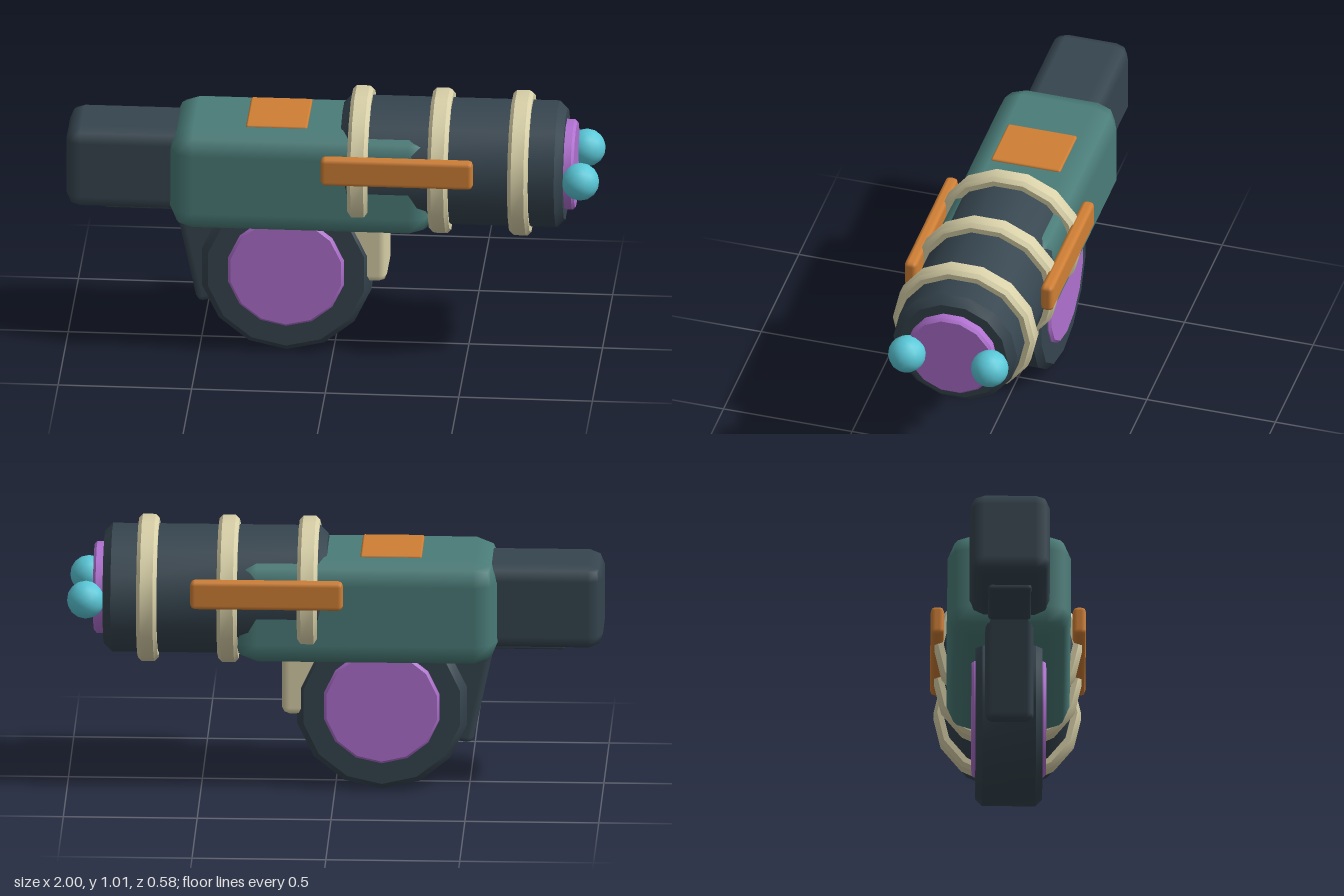
import * as THREE from 'three';
import { toCreasedNormals } from 'three/addons/utils/BufferGeometryUtils.js';
import { RoundedBoxGeometry } from 'three/addons/geometries/RoundedBoxGeometry.js';

const SIDES = 14;
const AXIS_Y = 0.75; // height of the barrel axis

function paint(name, color) {
  const m = new THREE.MeshStandardMaterial({ color });
  m.name = name;
  return m;
}

export function createModel() {
  const teal = paint('teal', 0x4a7c78);
  const slate = paint('slate', 0x36454f);
  const cream = paint('cream', 0xd8d0a8);
  const orange = paint('orange', 0xcf7f35);
  const purple = paint('purple', 0xb070d0);
  const cyan = paint('cyan', 0x5ac8d8);

  const model = new THREE.Group();
  model.name = 'blaster';

  function add(name, geometry, material, x, y, z) {
    const mesh = new THREE.Mesh(geometry, material);
    mesh.name = name;
    mesh.position.set(x, y, z);
    model.add(mesh);
    return mesh;
  }

  // Box with softened edges, given by its minimum and maximum corners
  function box(name, material, min, max, radius) {
    const s = max.map((v, i) => v - min[i]);
    const c = max.map((v, i) => (v + min[i]) / 2);
    return add(name, new RoundedBoxGeometry(s[0], s[1], s[2], 1, radius), material, ...c);
  }

  // Bevelled prism turned around the y axis
  function drum(radius, length, bevel, inner = 0) {
    const h = length / 2;
    const profile = [
      [inner, -h], [radius - bevel, -h], [radius, -h + bevel],
      [radius, h - bevel], [radius - bevel, h], [inner, h],
    ].map(([r, y]) => new THREE.Vector2(r, y));
    return toCreasedNormals(new THREE.LatheGeometry(profile, SIDES), 0.6);
  }
  const alongX = (g) => g.rotateZ(-Math.PI / 2);
  const alongZ = (g) => g.rotateX(Math.PI / 2);

  // Receiver, stock and the strip beneath the stock
  box('body', teal, [-0.61, 0.51, -0.23], [0.38, 0.92, 0.23], 0.09);
  box('stock', slate, [-1, 0.565, -0.15], [-0.5, 0.89, 0.15], 0.055);
  box('stockUnderplate', slate, [-0.86, 0.548, -0.08], [-0.5, 0.62, 0.08], 0.012);
  box('topPlate', orange, [-0.325, 0.89, -0.135], [-0.095, 0.928, 0.135], 0.008);

  // Barrel with its three bands and muzzle
  add('barrel', alongX(drum(0.241, 0.835, 0.03)), slate, 0.4475, AXIS_Y, 0);
  for (const x of [0.1, 0.4, 0.7]) {
    add('barrelBand', alongX(drum(0.276, 0.076, 0.014, 0.225)), cream, x, AXIS_Y, 0);
  }
  add('muzzleDisc', alongX(drum(0.172, 0.06, 0.01)), purple, 0.873, AXIS_Y, 0);

  // Side rails and muzzle orbs, mirrored
  for (const side of [1, -1]) {
    const rail = box('sideRail', orange, [-0.035, 0.752, 0.24], [0.535, 0.864, 0.29], 0.018);
    rail.position.z *= side;
    add('muzzleOrb', new THREE.IcosahedronGeometry(0.071, 2), cyan, 0.929, AXIS_Y, side * 0.161);
  }

  // Magazine drum with a disc on each face
  add('magazineDrum', alongZ(drum(0.325, 0.25, 0.025)), slate, -0.175, 0.331, 0);
  add('magazineDiscs', alongZ(drum(0.222, 0.278, 0.01)), purple, -0.175, 0.335, 0);

  // Slanted rear grip and front block
  const grip = add('grip', new RoundedBoxGeometry(0.17, 0.48, 0.18, 1, 0.025), slate, -0.478, 0.428, 0);
  grip.rotation.z = 0.21;
  box('frontBlock', cream, [0.02, 0.29, -0.115], [0.2, 0.6, 0.115], 0.03);

  return model;
}
